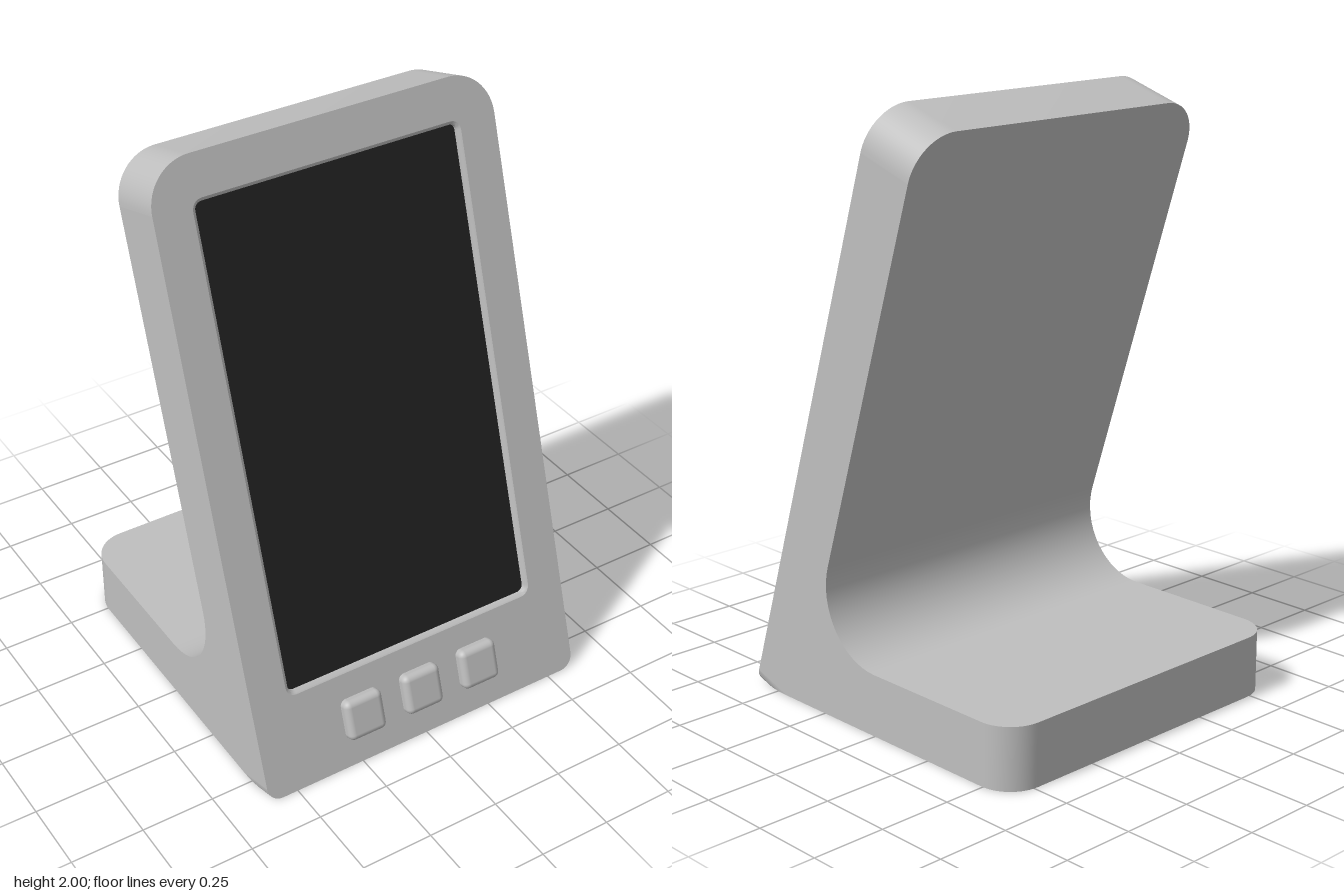
import * as THREE from 'three';
import { toCreasedNormals } from 'three/addons/utils/BufferGeometryUtils.js';
import { RoundedBoxGeometry } from 'three/addons/geometries/RoundedBoxGeometry.js';

const HALF = 0.605;            // half width
const FRONT = 0.615;           // z of the front foot edge, and depth of the base behind centre
const TILT = 0.312;            // lean of the display panel
const LENGTH = 2.101;          // panel length along the slope
const THICK = 0.221;
const BASE_H = 0.21;
const FILLET = 0.23;
const S = Math.sin(TILT), C = Math.cos(TILT);

// How far a rounded corner of radius r cuts in at a given x
function cornerCut(x, r) {
  const d = Math.abs(x) - (HALF - r);
  return d > 0 ? r - Math.sqrt(Math.max(0, r * r - d * d)) : 0;
}
const low = x => cornerCut(x, 0.05);
const high = x => LENGTH - cornerCut(x, 0.15);

// Side profile [z, y] at a given x, starting at the lower front edge
function profile(x) {
  const onPanel = (v, depth) => [FRONT - S * v - C * depth, C * v - S * depth];
  const foot = onPanel(low(x), 0);
  const pts = [foot, onPanel(high(x), 0), onPanel(high(x), THICK)];
  const cz = (C * FRONT - THICK - S * BASE_H - (1 + S) * FILLET) / C;
  for (let i = 0; i <= 16; i++) {
    const a = TILT - (TILT + Math.PI / 2) * i / 16;
    pts.push([cz + FILLET * Math.cos(a), BASE_H + FILLET + FILLET * Math.sin(a)]);
  }
  const back = -FRONT + cornerCut(x, 0.12);
  pts.push([back, BASE_H], [back, 0], [foot[0] - C * foot[1] / S, 0]);
  return pts;
}

// Skin between rows of [x, y, z] points
function loft(rows) {
  const n = rows[0].length, index = [];
  for (let i = 0; i < rows.length - 1; i++) {
    for (let j = 0; j < n - 1; j++) {
      const a = i * n + j, b = a + n;
      index.push(a, b, b + 1, a, b + 1, a + 1);
    }
  }
  const geo = new THREE.BufferGeometry();
  geo.setAttribute('position', new THREE.Float32BufferAttribute(rows.flat(2), 3));
  geo.setIndex(index);
  return toCreasedNormals(geo, 0.5);
}

// Counter-clockwise rounded rectangle as [x, y] points
function roundedRect(hw, y0, y1, r) {
  const pts = [];
  const corners = [[hw - r, y1 - r], [r - hw, y1 - r], [r - hw, y0 + r], [hw - r, y0 + r]];
  corners.forEach(([cx, cy], k) => {
    for (let i = 0; i <= 6; i++) {
      const a = (k + i / 6) * Math.PI / 2;
      pts.push([cx + r * Math.cos(a), cy + r * Math.sin(a)]);
    }
  });
  return pts;
}
const toVectors = pts => pts.map(([x, y]) => new THREE.Vector2(x, y));

export function createModel() {
  const model = new THREE.Group();
  const shell = new THREE.MeshStandardMaterial({ name: 'shell grey', color: 0xbfbfbf });
  const glass = new THREE.MeshStandardMaterial({ name: 'screen black', color: 0x202020 });
  const add = (parent, name, geo, mat) => {
    const mesh = new THREE.Mesh(geo, mat);
    mesh.name = name;
    parent.add(mesh);
    return mesh;
  };

  // Section positions, denser towards the rounded sides
  const xs = [];
  for (let i = 0; i <= 16; i++) xs.push(HALF - 0.15 * (1 - Math.cos(i / 16 * Math.PI / 2)));
  const stations = [...xs.map(x => -x), ...xs.slice().reverse()];

  // Stand body: everything except the front face and the flat sides
  const rows = stations.map(x => {
    const p = profile(x);
    return [...p.slice(1), p[0]].map(([z, y]) => [x, y, z]);
  });
  add(model, 'standBody', loft(rows), shell);

  // Flat sides
  for (const s of [1, -1]) {
    const shape = new THREE.Shape(toVectors(profile(HALF).map(([z, y]) => [-s * z, y])));
    const geo = new THREE.ShapeGeometry(shape).rotateY(s * Math.PI / 2).translate(s * HALF, 0, 0);
    add(model, s > 0 ? 'leftSide' : 'rightSide', geo, shell);
  }

  // Tilted front panel
  const panel = new THREE.Group();
  panel.name = 'frontPanel';
  panel.position.z = FRONT;
  panel.rotation.x = -TILT;
  model.add(panel);

  const opening = inset => roundedRect(0.475 - inset, 0.326 + inset, 1.964 - inset, 0.035 - inset);
  const outline = [
    ...stations.map(x => [x, low(x)]),
    ...stations.slice().reverse().map(x => [x, high(x)]),
  ];
  const face = new THREE.Shape(toVectors(outline));
  face.holes.push(new THREE.Path(toVectors(opening(0)).reverse()));
  add(panel, 'bezelFace', new THREE.ShapeGeometry(face), shell);

  // Rounded lip leading down to the recessed screen
  const lip = [[0.012, -0.02], [0.011, -0.008], [0.006, -0.003], [0, 0]].map(([inset, z]) => {
    const ring = opening(inset).map(([x, y]) => [x, y, z]);
    return [...ring, ring[0]];
  });
  add(panel, 'screenLip', loft(lip), shell);

  const screen = new THREE.ShapeGeometry(new THREE.Shape(toVectors(opening(0.012))));
  add(panel, 'screen', screen.translate(0, 0, -0.02), glass);

  // Three soft push buttons
  for (const x of [-0.225, 0, 0.225]) {
    const button = add(panel, 'button', new RoundedBoxGeometry(0.142, 0.142, 0.08, 4, 0.022), shell);
    button.position.set(x, 0.168, -0.004);
  }
  return model;
}
